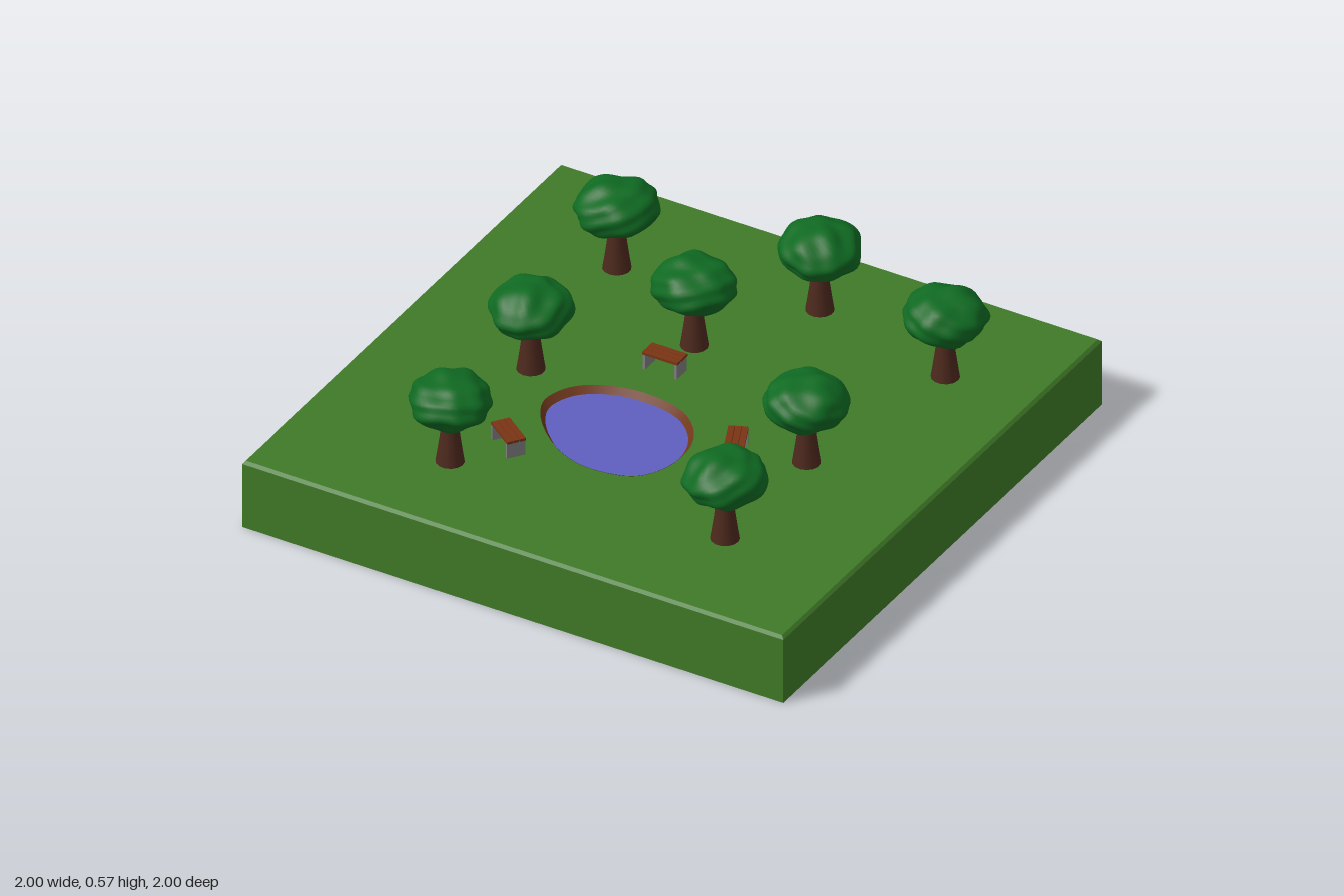
import * as THREE from 'three';
import { mergeVertices } from 'three/addons/utils/BufferGeometryUtils.js';

const TOP = 0.25;
const mat = (color, side = THREE.FrontSide) => new THREE.MeshStandardMaterial({ color, side });
const grass = mat(0x3f7a27), leaf = mat(0x0f6a22), bark = mat(0x4d291d), wood = mat(0x7a3414);
const stone = mat(0x808080), water = mat(0x5f5fc0), soil = mat(0x70381c, THREE.DoubleSide);

function part(parent, name, geometry, material, x = 0, y = 0, z = 0) {
  const m = new THREE.Mesh(geometry, material);
  m.name = name;
  m.position.set(x, y, z);
  parent.add(m);
  return m;
}

// Pond outline in plan, as (x, z), smoothed through a closed curve
const shore = new THREE.CatmullRomCurve3([
  [-0.09, 0.01], [0.06, 0.04], [0.15, 0.12], [0.19, 0.22], [0.18, 0.35], [0.12, 0.44], [0.0, 0.472],
  [-0.1, 0.46], [-0.21, 0.4], [-0.315, 0.29], [-0.35, 0.2], [-0.315, 0.1], [-0.225, 0.035],
].map(([x, z]) => new THREE.Vector3(x, 0, z)), true).getPoints(64);
const pondCentre = new THREE.Vector3(-0.08, 0, 0.24);
const inset = (p, k) => p.clone().sub(pondCentre).multiplyScalar(k).add(pondCentre);
const plan = (points) => points.slice(0, -1).map((p) => new THREE.Vector2(p.x, -p.z));

// Top layer of turf: hole for the pond, small chamfer round the upper edge
function turfGeometry() {
  const shape = new THREE.Shape([[-1, -1], [1, -1], [1, 1], [-1, 1]].map((p) => new THREE.Vector2(...p)));
  shape.holes.push(new THREE.Path(plan(shore)));
  const g = new THREE.ExtrudeGeometry(shape, { depth: 0.05, steps: 2, bevelEnabled: false });
  g.rotateX(-Math.PI / 2);
  const p = g.attributes.position;
  for (let i = 0; i < p.count; i++) {
    const y = p.getY(i);
    if (y > 0.01 && y < 0.04) p.setY(i, 0.04);
    if (y > 0.04 && Math.abs(p.getX(i)) > 0.9) {
      p.setX(i, p.getX(i) * 0.99);
      p.setZ(i, p.getZ(i) * 0.99);
    }
  }
  g.computeVertexNormals();
  return g;
}

// Sloping soil bank between the shore and the sunken water
function bankGeometry() {
  const n = shore.length - 1;
  const g = new THREE.PlaneGeometry(1, 1, n, 1);
  for (let i = 0; i <= n; i++) {
    const q = inset(shore[i], 0.92);
    g.attributes.position.setXYZ(i, shore[i].x, TOP + 0.001, shore[i].z);
    g.attributes.position.setXYZ(n + 1 + i, q.x, TOP - 0.025, q.z);
  }
  g.computeVertexNormals();
  return g;
}

// Lumpy, flattened crown
function crownGeometry() {
  let g = new THREE.IcosahedronGeometry(1, 9);
  g.deleteAttribute('normal');
  g.deleteAttribute('uv');
  g = mergeVertices(g, 1e-4);
  const p = g.attributes.position, v = new THREE.Vector3();
  for (let i = 0; i < p.count; i++) {
    v.fromBufferAttribute(p, i);
    const { x, y, z } = v;
    const lump = 0.05 * Math.sin(5.3 * x + 1.1 + 2 * y) * Math.cos(4.7 * z - 0.6)
      + 0.03 * Math.sin(9 * z + 4 * x + 0.4) + 0.025 * Math.sin(10 * y - 7 * x + 2);
    v.multiplyScalar(1 + lump);
    p.setXYZ(i, v.x * 0.134, v.y * (y > 0 ? 0.087 : 0.085), v.z * 0.134);
  }
  g.computeVertexNormals();
  return g;
}

// Flared trunk
const trunkGeometry = new THREE.LatheGeometry(
  [[0.048, -0.005], [0.041, 0.04], [0.034, 0.09], [0.028, 0.14], [0.026, 0.19]].map((p) => new THREE.Vector2(...p)), 14);

function makeTree(crown, x, z, yaw) {
  const tree = new THREE.Group();
  tree.name = 'tree';
  part(tree, 'trunk', trunkGeometry, bark);
  part(tree, 'crown', crown, leaf, 0, 0.232, 0);
  tree.position.set(x, TOP, z);
  tree.rotation.y = yaw;
  return tree;
}

function makeBench(x, z, yaw) {
  const bench = new THREE.Group();
  bench.name = 'bench';
  // Slatted seat
  for (let i = -1; i <= 1; i++) {
    part(bench, 'seatSlat', new THREE.BoxGeometry(0.13, 0.009, 0.0205), wood, 0, 0.059, i * 0.0222);
  }
  // Stone end panels
  for (const s of [-1, 1]) {
    part(bench, 'sidePanel', new THREE.BoxGeometry(0.009, 0.056, 0.064), stone, s * 0.058, 0.027, 0);
  }
  bench.position.set(x, TOP, z);
  bench.rotation.y = yaw;
  return bench;
}

export function createModel() {
  const park = new THREE.Group();
  park.name = 'park';

  part(park, 'groundBlock', new THREE.BoxGeometry(2, 0.2, 2), grass, 0, 0.1, 0);
  part(park, 'turf', turfGeometry(), grass, 0, 0.2, 0);

  part(park, 'pondBank', bankGeometry(), soil);
  const surface = new THREE.ShapeGeometry(new THREE.Shape(plan(shore.map((p) => inset(p, 0.94)))));
  part(park, 'pondWater', surface.rotateX(-Math.PI / 2), water, 0, TOP - 0.022, 0);

  const crown = crownGeometry();
  [
    [-0.54, -0.57], [0.14, -0.69], [0.68, -0.56], [-0.1, -0.31],
    [-0.48, 0.07], [0.55, 0.09], [-0.43, 0.66], [0.55, 0.6],
  ].forEach(([x, z], i) => park.add(makeTree(crown, x, z, i * 1.9)));

  [[-0.11, -0.14, 0], [0.333, 0.163, -1.16], [-0.312, 0.495, -0.63]]
    .forEach((b) => park.add(makeBench(...b)));

  return park;
}
